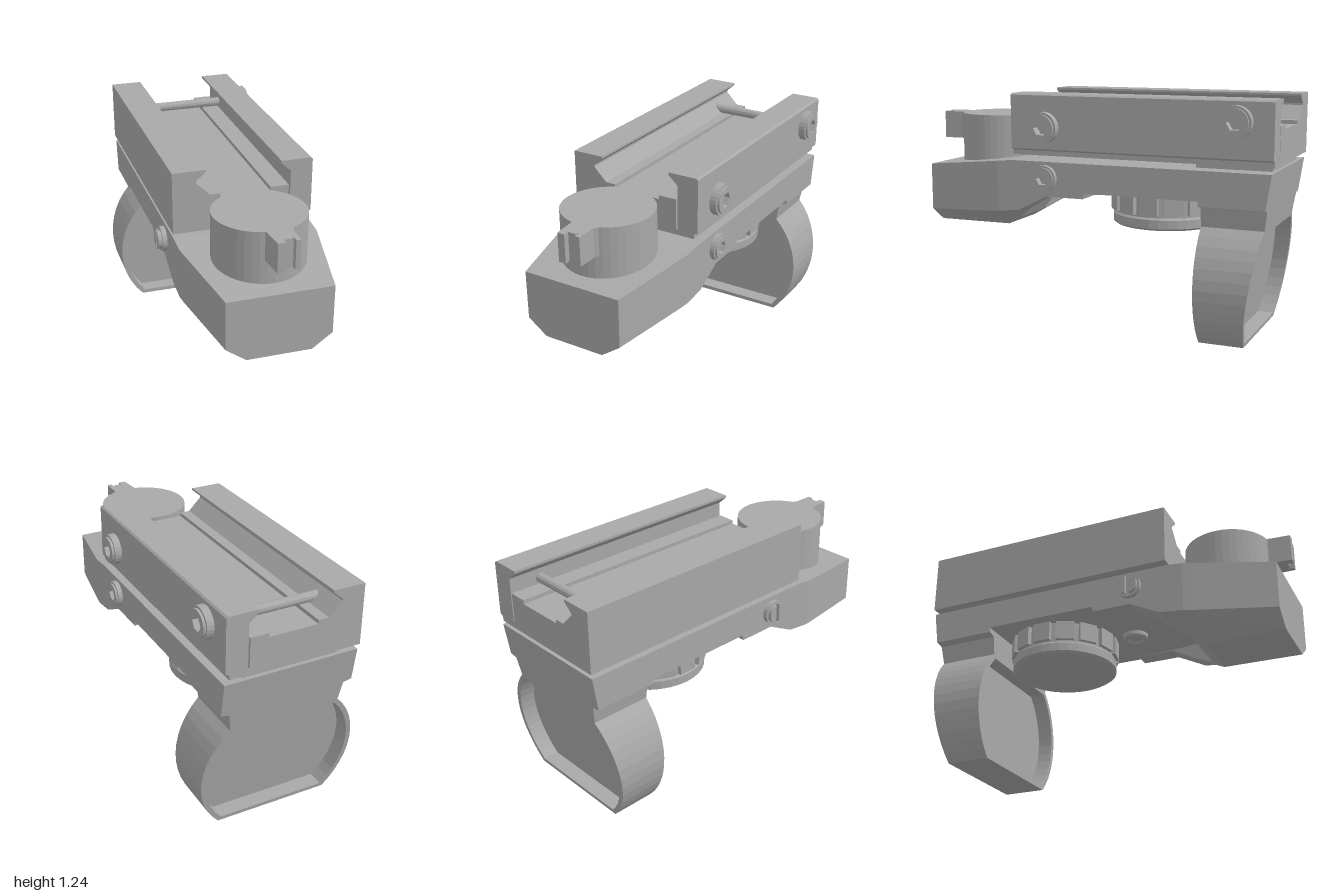
import * as THREE from 'three';

const metal = new THREE.MeshStandardMaterial({ color: 0xa8a8a8 });
metal.name = 'grey metal';

export function createModel() {
  const root = new THREE.Group();
  root.name = 'reflexSight';

  // Adds a faceted mesh to the model
  function add(name, geo, x = 0, y = 0, z = 0) {
    const g = geo.index ? geo.toNonIndexed() : geo;
    g.computeVertexNormals();
    const m = new THREE.Mesh(g, metal);
    m.name = name;
    m.position.set(x, y, z);
    root.add(m);
    return m;
  }
  const poly = pts => new THREE.Shape(pts.map(p => new THREE.Vector2(p[0], p[1])));
  const extrude = (shape, depth) =>
    new THREE.ExtrudeGeometry(shape, { depth, bevelEnabled: false, curveSegments: 24 });
  const lathe = (pts, n) => new THREE.LatheGeometry(pts.map(p => new THREE.Vector2(p[0], p[1])), n);

  // Rail clamp: dovetail jaws, shallow floor channel and a slit beside the clamping jaw
  add('railClamp', extrude(poly([
    [-0.365, 0.92], [0.34, 0.92], [0.34, 0.945], [0.36, 0.955], [0.36, 1.235], [0.35, 1.243],
    [0.195, 1.243], [0.195, 1.23], [0.245, 1.185], [0.245, 0.95], [0.237, 0.95], [0.237, 1.11],
    [0.14, 1.11], [0.14, 1.09], [-0.12, 1.09], [-0.12, 1.11], [-0.175, 1.11], [-0.245, 1.18],
    [-0.245, 1.19], [-0.195, 1.232], [-0.195, 1.243], [-0.365, 1.243],
  ]), 1.41), 0, 0, -1);
  const bar = new THREE.CylinderGeometry(0.025, 0.025, 0.48, 12);
  bar.rotateZ(Math.PI / 2);
  add('crossBar', bar, 0.01, 1.135, -0.825);

  // Spacers between clamp and body
  add('rearSpacer', new THREE.BoxGeometry(0.51, 0.05, 0.39), 0, 0.905, -0.775);
  add('middleSpacer', new THREE.CylinderGeometry(0.065, 0.065, 0.05, 20), 0, 0.905, -0.155);
  add('frontSpacer', new THREE.CylinderGeometry(0.03, 0.03, 0.05, 16), 0, 0.905, 0.08);

  // Body lofted front to back: z, half width, top, chamfer y, bottom y, bottom half width, notch top
  const stations = [
    [0.97, 0.268, 0.83, 0.575, 0.5, 0.165, 0.5],
    [0.545, 0.352, 0.876, 0.605, 0.5, 0.155, 0.5],
    [0.5, 0.36, 0.881, 0.61, 0.528, 0.18, 0.528],
    [0.48, 0.36, 0.883, 0.612, 0.541, 0.195, 0.541],
    [0.41, 0.36, 0.89, 0.62, 0.585, 0.24, 0.65],
    [0.37, 0.36, 0.89, 0.625, 0.61, 0.27, 0.705],
    [0.21, 0.36, 0.89, 0.706, 0.705, 0.3, 0.71],
    [0, 0.36, 0.89, 0.706, 0.705, 0.3, 0.705],
    [-0.01, 0.36, 0.89, 0.736, 0.735, 0.3, 0.735],
    [-0.64, 0.36, 0.89, 0.736, 0.735, 0.3, 0.735],
  ];
  const rings = stations.map(([z, w, t, c, b, h, n]) => {
    const i = h - 0.04;
    return [[w, t], [-w, t], [-w, c], [-h, b], [-i, b], [-i, n], [i, n], [i, b], [h, b], [w, c]]
      .map(p => [p[0], p[1], z]);
  });
  const tris = [];
  const cap = [0, 1, 2, 3, 8, 9].map(i => rings[0][i]);
  for (let i = 1; i < 5; i++) tris.push(cap[0], cap[i], cap[i + 1]);
  for (let s = 0; s < rings.length - 1; s++) {
    const a = rings[s], b = rings[s + 1];
    for (let i = 0; i < 10; i++) {
      const j = (i + 1) % 10;
      tris.push(a[i], b[i], a[j], a[j], b[i], b[j]);
    }
  }
  const bodyGeo = new THREE.BufferGeometry();
  bodyGeo.setAttribute('position', new THREE.Float32BufferAttribute(tris.flat(), 3));
  add('body', bodyGeo);

  // Lens hood: clipped circle under a wide block, with a sloping rear face
  const arc = (r, y0, y1) => {
    const a0 = Math.asin((y0 - 0.295) / r), a1 = Math.asin((y1 - 0.295) / r), pts = [];
    for (let i = 0; i <= 12; i++) {
      const a = a0 + (a1 - a0) * i / 12;
      pts.push([r * Math.cos(a), 0.295 + r * Math.sin(a)]);
    }
    return pts;
  };
  const mirrored = half => [...half, ...half.map(p => [-p[0], p[1]]).reverse()];
  const inner = mirrored(arc(0.402, 0.022, 0.58));
  const hoodShape = poly(mirrored([...arc(0.428, 0, 0.6), [0.315, 0.7], [0.36, 0.71], [0.36, 0.89]]));
  hoodShape.holes.push(poly(inner));
  function slopedSlab(shape, front, inset) {
    const g = extrude(shape, 1), p = g.attributes.position;
    for (let i = 0; i < p.count; i++)
      p.setZ(i, p.getZ(i) > 0.5 ? front : -0.86 - 0.148 * p.getY(i) + inset);
    return g;
  }
  add('lensHood', slopedSlab(hoodShape, -0.625, 0));
  add('lens', slopedSlab(poly(inner), -0.71, 0.085));

  // Round emitter housing with a split tab on its front
  add('emitterKnob', new THREE.CylinderGeometry(0.235, 0.235, 0.3, 40), 0, 0.96, 0.645);
  const tab = extrude(poly([
    [-0.07, 0.85], [0.1, 0.85], [0.08, 0.88], [0.08, 0.99], [0.055, 0.99], [0.055, 0.96],
    [0.045, 0.96], [0.045, 0.97], [0.003, 0.97], [0.003, 1.0], [-0.035, 1.0], [-0.045, 0.88],
  ]), 0.15);
  tab.rotateX(Math.PI / 2);
  add('knobTab', tab, 0, 1.11, 0);

  // Ribbed adjustment wheel under the body
  const wheelZ = -0.34;
  add('wheelCore', new THREE.CylinderGeometry(0.28, 0.28, 0.13, 36), 0, 0.68, wheelZ);
  for (let i = 0; i < 14; i++) {
    const a = (i + 0.5) / 14 * Math.PI * 2;
    const rib = add('wheelRib', new THREE.BoxGeometry(0.1, 0.105, 0.04),
      0.278 * Math.sin(a), 0.683, wheelZ + 0.278 * Math.cos(a));
    rib.rotation.y = a;
  }
  add('wheelCap', lathe([[0, 0.54], [0.21, 0.54], [0.272, 0.553], [0.29, 0.565], [0.29, 0.61],
    [0.275, 0.625], [0, 0.625]], 36), 0, 0, wheelZ);
  add('undersideScrew', lathe([[0, 0.69], [0.035, 0.69], [0.045, 0.677], [0.06, 0.677],
    [0.07, 0.687], [0.07, 0.72]], 24), 0, 0, 0.09);

  // Socket screws on the +x side
  function socketScrew(name, r, x, depth, y, z) {
    const ringAt = (rad, n) => Array.from({ length: n }, (_, i) =>
      [rad * Math.cos(i / n * Math.PI * 2), rad * Math.sin(i / n * Math.PI * 2)]);
    const layers = [[r, 0, depth * 0.75], [r * 0.85, depth * 0.75, depth * 0.25]];
    for (const [rad, start, d] of layers) {
      const s = poly(ringAt(rad, 24));
      s.holes.push(poly(ringAt(r * 0.5, 6)));
      const g = extrude(s, d);
      g.rotateY(Math.PI / 2);
      add(name, g, x + start, y, z);
    }
  }
  socketScrew('frontClampScrew', 0.082, 0.36, 0.05, 1.07, 0.215);
  socketScrew('rearClampScrew', 0.082, 0.36, 0.05, 1.135, -0.815);
  socketScrew('bodyScrew', 0.07, 0.355, 0.04, 0.803, 0.215);

  // Slotted screw on the -x side
  const base = new THREE.CylinderGeometry(0.064, 0.064, 0.03, 24);
  base.rotateZ(Math.PI / 2);
  add('slottedScrewBase', base, -0.37, 0.803, 0.21);
  for (const side of [1, -1]) {
    const half = new THREE.Shape();
    const a = 0.2;
    const start = side * -Math.PI / 2 + a;
    half.absarc(0, 0, 0.052, start, start + Math.PI - 2 * a, false);
    half.closePath();
    const g = extrude(half, 0.025);
    g.rotateY(-Math.PI / 2);
    add('slottedScrewHead', g, -0.38, 0.803, 0.21);
  }
  return root;
}
